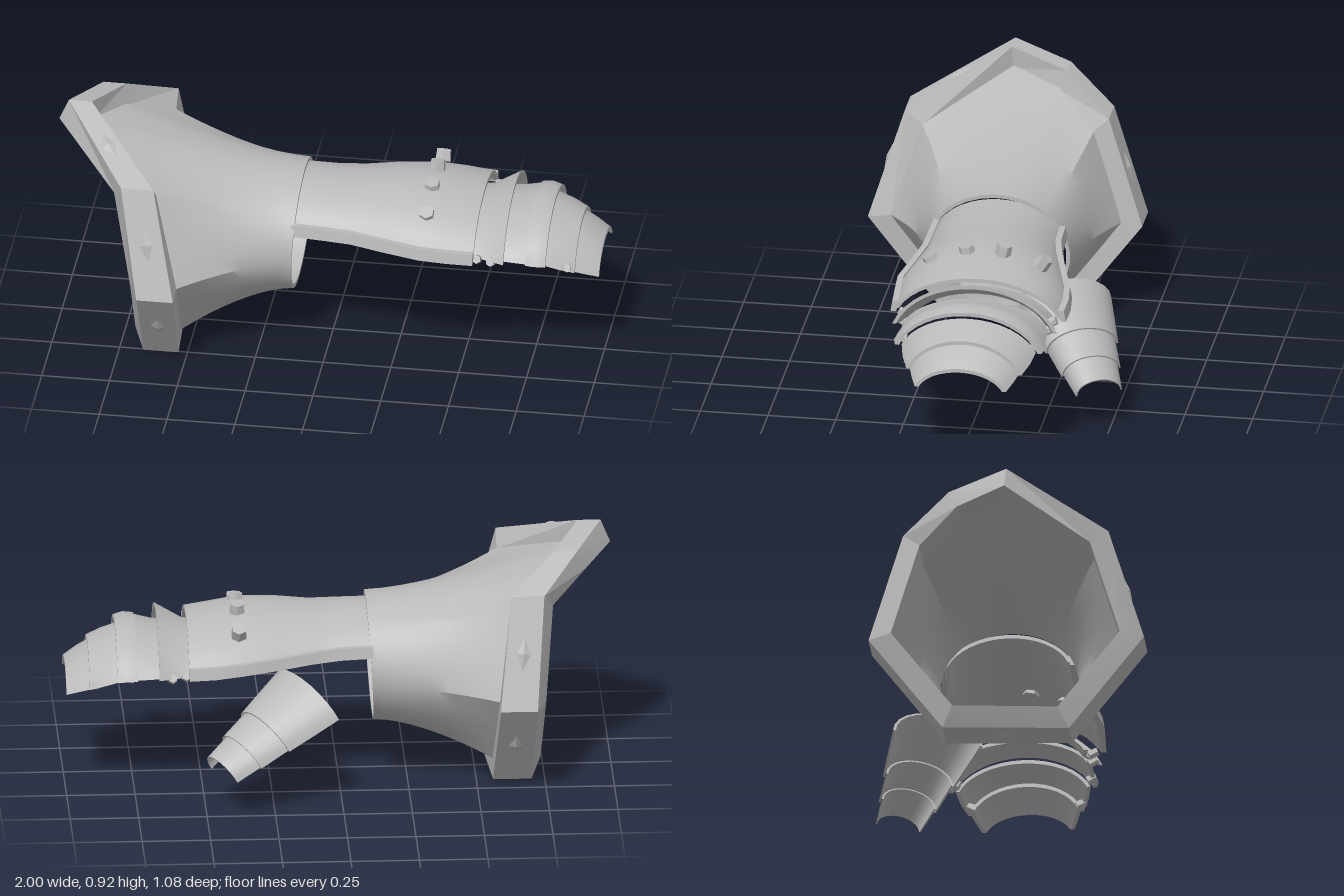
import * as THREE from 'three';
import { toCreasedNormals } from 'three/addons/utils/BufferGeometryUtils.js';

const steel = new THREE.MeshStandardMaterial({ color: 0xbababa, side: THREE.DoubleSide });
steel.name = 'steel';

const lerp = THREE.MathUtils.lerp;
const mix = (a, b, t) => a.map((v, i) => lerp(v, b[i], t));

// Thick sheet between an outer and an inner grid of points; closed sheets wrap around.
function shell(outer, inner, closed, crease = 0.6) {
  const pos = [];
  const quad = (a, b, c, d) => pos.push(...a, ...b, ...c, ...a, ...c, ...d);
  const rows = outer.length, cols = outer[0].length, last = cols - 1;
  for (let i = 0; i < (closed ? rows : rows - 1); i++) {
    const k = (i + 1) % rows;
    for (let j = 0; j < last; j++) {
      quad(outer[i][j], outer[k][j], outer[k][j + 1], outer[i][j + 1]);
      quad(inner[i][j], inner[i][j + 1], inner[k][j + 1], inner[k][j]);
    }
    quad(outer[i][0], inner[i][0], inner[k][0], outer[k][0]);
    quad(outer[i][last], outer[k][last], inner[k][last], inner[i][last]);
  }
  if (!closed) {
    for (let j = 0; j < last; j++) {
      quad(outer[0][j], outer[0][j + 1], inner[0][j + 1], inner[0][j]);
      const r = rows - 1;
      quad(outer[r][j], inner[r][j], inner[r][j + 1], outer[r][j + 1]);
    }
  }
  const g = new THREE.BufferGeometry();
  g.setAttribute('position', new THREE.Float32BufferAttribute(pos, 3));
  return toCreasedNormals(g, crease);
}

// Point on an arched plate section [x, centre z, half width, edge y, top y], u from -1 to 1
const SPREAD = 1.25;
function arch([x, cz, w, ye, yt], u, thick = 0) {
  const a = u * SPREAD, low = Math.cos(SPREAD);
  return [
    x,
    ye + (yt - thick - ye) * (Math.cos(a) - low) / (1 - low),
    cz + (w - thick) * Math.sin(a) / Math.sin(SPREAD),
  ];
}

function archPlate(sections, thick = 0.014, n = 16) {
  const grid = (t) => Array.from({ length: n + 1 }, (_, i) =>
    sections.map((s) => arch(s, (i / n) * 2 - 1, t)));
  return shell(grid(0), grid(thick), false);
}

export function createModel() {
  const root = new THREE.Group();
  const add = (name, geometry, parent = root) => {
    const m = new THREE.Mesh(geometry, steel);
    m.name = name;
    parent.add(m);
    return m;
  };
  const group = (name) => {
    const g = new THREE.Group();
    g.name = name;
    root.add(g);
    return g;
  };

  // Cuff rim corners: y, z, back x, front x
  const rim = [
    [0.918, 0.07, -0.965, -0.88], [0.765, 0.42, -0.72, -0.60],
    [0.37, 0.543, -0.645, -0.51], [0.008, 0.27, -0.66, -0.53],
    [0.012, -0.19, -0.70, -0.56], [0.37, -0.46, -0.71, -0.575],
    [0.77, -0.33, -0.74, -0.62], [0.878, -0.15, -0.87, -0.785],
  ];
  const CY = 0.43, CZ = 0.04;
  const shrink = (y, z, k) => [CY + (y - CY) * k, CZ + (z - CZ) * k];
  add('cuffRim', shell(
    rim.map(([y, z, b, f]) => [[b, y, z], [f, y, z]]),
    rim.map(([y, z, b, f]) => {
      const p = shrink(y, z, 0.83);
      return [[b - 0.035, ...p], [f, ...p]];
    }), true, 0.2));

  // Diamond ornaments on the rim faces
  const ornaments = group('rimOrnaments');
  for (let i = 0; i < 6; i++) {
    const p = rim[i], q = rim[i + 1];
    const centre = (r) => new THREE.Vector3((r[2] + r[3]) / 2, r[0], r[1]);
    const P = centre(p), Q = centre(q);
    const along = Q.clone().sub(P).normalize();
    const across = new THREE.Vector3(1, 0, 0).addScaledVector(along, -along.x).normalize();
    const out = along.clone().cross(across);
    const g = new THREE.ConeGeometry(1, 1, 4).scale(0.085, 0.014, 0.036);
    g.applyMatrix4(new THREE.Matrix4().makeBasis(along, out, across.negate())
      .setPosition(P.add(Q).multiplyScalar(0.5).addScaledVector(out, 0.003)));
    add('rimDiamond', toCreasedNormals(g, 0.1), ornaments);
  }

  // Flared cuff from the rim opening to the round wrist
  const STEPS = 10, PER_EDGE = 4;
  const cuffGrid = (thick) => {
    const rows = [];
    rim.forEach((r, i) => {
      for (let k = 0; k < PER_EDGE; k++) {
        const [y, z, b, f] = mix(r, rim[(i + 1) % rim.length], k / PER_EDGE);
        const [wy, wz] = shrink(y, z, 0.86);
        const a = Math.atan2(wz - CZ, wy - CY);
        const ny = 0.437 + (0.233 - thick) * Math.cos(a), nz = (0.268 - thick) * Math.sin(a);
        const nx = -0.115 + 0.012 * Math.cos(a);
        rows.push(Array.from({ length: STEPS + 1 }, (_, j) => {
          const s = 1 - j / STEPS, e = s ** 1.6;
          return [lerp(nx, f - 0.02, s), lerp(ny, wy, e), lerp(nz, wz, e)];
        }));
      }
    });
    return rows;
  };
  add('cuff', shell(cuffGrid(0), cuffGrid(0.014), true));

  // Back-of-hand plate
  const hand = [
    [-0.12, -0.007, 0.235, 0.525, 0.645], [0.0, -0.007, 0.238, 0.52, 0.643],
    [0.1, -0.015, 0.25, 0.515, 0.642], [0.23, -0.02, 0.28, 0.505, 0.655],
    [0.36, -0.025, 0.31, 0.498, 0.655], [0.46, -0.033, 0.313, 0.49, 0.638],
    [0.555, -0.035, 0.308, 0.485, 0.622],
  ];
  add('handPlate', archPlate(hand));
  for (const side of [1, -1]) {
    // Raised border along each lower edge
    const strip = (o) => [0.03, -0.012].map((dy) =>
      hand.map(([x, cz, w, ye]) => [x, ye + dy, cz + side * (w + o - (dy > 0 ? 0.008 : 0))]));
    add(side > 0 ? 'leftHandBorder' : 'rightHandBorder', shell(strip(0.016), strip(-0.006), false, 0.3));
  }

  // Six-sided studs; tilt leans the stud towards +z
  const studs = group('studs');
  const stud = (x, y, z, tilt, r = 0.031, h = 0.045) => {
    const m = add('stud', toCreasedNormals(new THREE.CylinderGeometry(r * 0.9, r, h, 6), 0.4), studs);
    m.position.set(x, y, z);
    m.rotation.x = tilt;
  };
  [[0.603, 0.165, 0.55], [0.647, 0.035, 0.2], [0.66, -0.1, -0.2], [0.622, -0.245, -0.62]]
    .forEach(([y, z, t]) => stud(0.37, y, z, t));
  [[0.565, 0.475, 0.275], [0.615, 0.465, 0.27], [0.762, 0.465, 0.25], [0.887, 0.425, 0.2]]
    .forEach(([x, y, dz]) => {
      for (const s of [1, -1]) stud(x, y, -0.035 + s * dz, s * 1.1, 0.018, 0.035);
    });

  // Overlapping finger plates, knuckles to tips
  const fingers = group('fingerPlates');
  const C = -0.04;
  const lames = {
    knucklePlate: [[0.49, C, 0.268, 0.455, 0.57], [0.565, C, 0.255, 0.465, 0.582], [0.665, C, 0.305, 0.472, 0.642]],
    secondPlate: [[0.62, C, 0.265, 0.468, 0.57], [0.68, C, 0.268, 0.465, 0.58], [0.75, C, 0.27, 0.462, 0.602]],
    ridgePlate: [[0.742, C, 0.276, 0.46, 0.606], [0.78, C, 0.28, 0.46, 0.61], [0.815, C, 0.27, 0.455, 0.6]],
    fourthPlate: [[0.8, C, 0.248, 0.452, 0.57], [0.86, C, 0.235, 0.43, 0.553], [0.915, C, 0.212, 0.408, 0.53]],
    tipPlate: [[0.895, C, 0.205, 0.412, 0.52], [0.95, C, 0.188, 0.393, 0.49], [0.998, C, 0.168, 0.375, 0.455]],
  };
  for (const [name, sections] of Object.entries(lames)) add(name, archPlate(sections), fingers);

  // Thumb guard: half shells between a base arc and a tip arc (far corner, crown, near corner)
  const thumb = group('thumbGuard');
  const base = [[0.015, 0.345, -0.44], [0.175, 0.475, -0.29], [0.21, 0.355, -0.13]];
  const tip = [[0.39, 0.145, -0.54], [0.475, 0.215, -0.465], [0.48, 0.145, -0.385]];
  const thumbPoint = (u, t, k) => {
    const [A, P, B] = base.map((p, i) => mix(p, tip[i], t));
    const a = u * Math.PI / 2;
    return A.map((v, i) => {
      const mid = (v + B[i]) / 2;
      return mid + k * ((P[i] - mid) * Math.cos(a) + (B[i] - mid) * Math.sin(a));
    });
  };
  [[0, 0.5, 1, 1.05], [0.46, 0.77, 0.97, 1.04], [0.73, 1, 0.95, 1]].forEach(([t0, t1, k0, k1], n) => {
    const grid = (cut) => Array.from({ length: 13 }, (_, i) => [0, 0.5, 1].map((s) =>
      thumbPoint(i / 6 - 1, lerp(t0, t1, s), lerp(k0, k1, s) - cut)));
    add(['thumbBasePlate', 'thumbMiddlePlate', 'thumbTipPlate'][n], shell(grid(0), grid(0.06), false), thumb);
  });

  return root;
}
